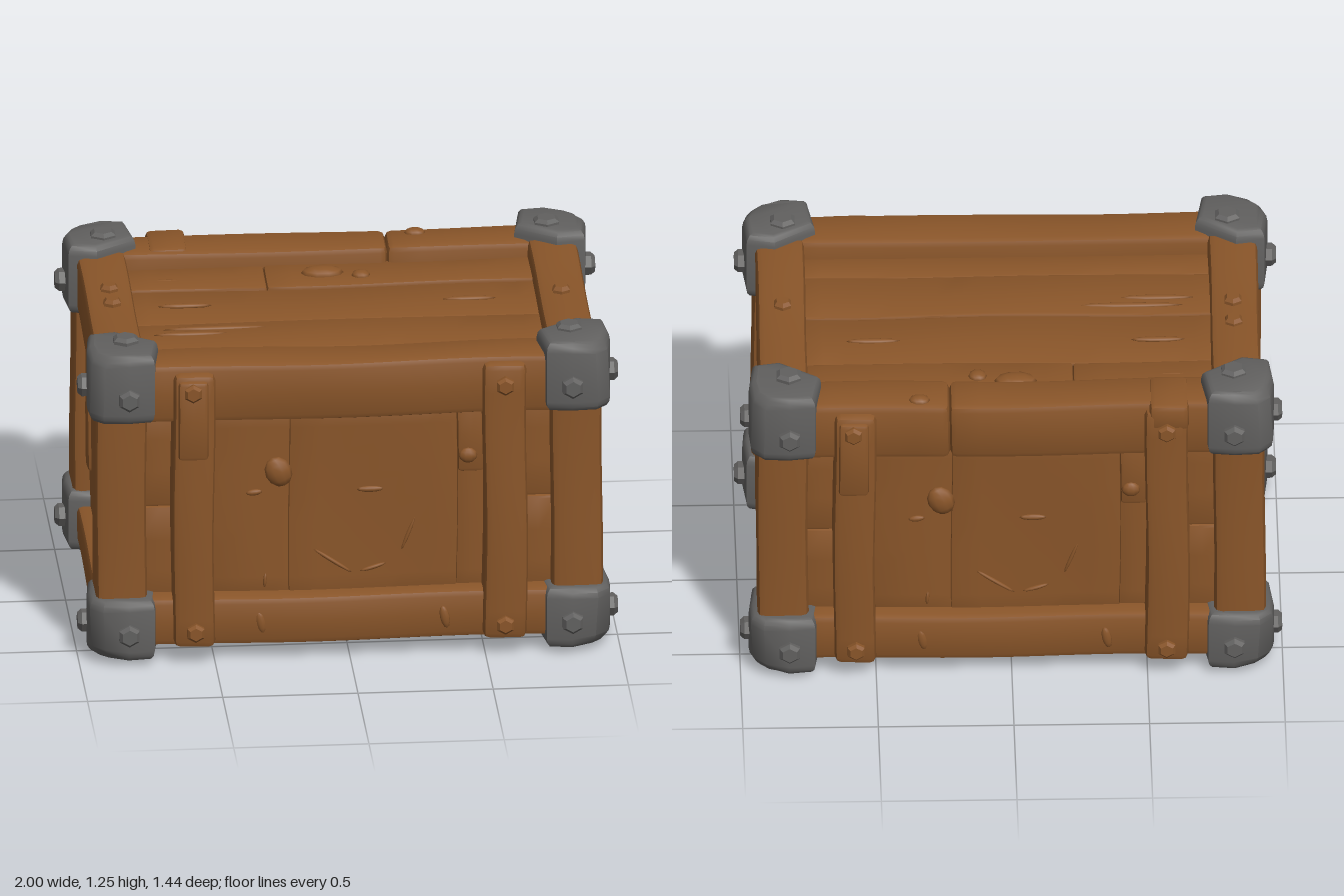
import * as THREE from 'three';
import { toCreasedNormals, mergeVertices } from 'three/addons/utils/BufferGeometryUtils.js';

const wood = new THREE.MeshStandardMaterial({ color: 0x895529 });
wood.name = 'wood';
const iron = new THREE.MeshStandardMaterial({ color: 0x61605f });
iron.name = 'iron';

function add(parent, name, geometry, material) {
  const mesh = new THREE.Mesh(geometry, material);
  mesh.name = name;
  parent.add(mesh);
  return mesh;
}

// Worn timber: a subdivided box with rounded edges and a gentle wobble
function timber(parent, name, [x0, x1], [y0, y1], [z0, z1], r = 0.02, wobble = 0.003) {
  const size = [x1 - x0, y1 - y0, z1 - z0];
  const centre = [(x0 + x1) / 2, (y0 + y1) / 2, (z0 + z1) / 2];
  const n = size.map((s) => Math.max(4, Math.round(s / 0.08)));
  r = Math.min(r, Math.min(...size) * 0.45);
  let geo = new THREE.BoxGeometry(...size, ...n);
  geo.deleteAttribute('normal');
  geo.deleteAttribute('uv');
  geo = mergeVertices(geo);
  const pos = geo.attributes.position;
  const p = new THREE.Vector3(), q = new THREE.Vector3();
  for (let i = 0; i < pos.count; i++) {
    p.fromBufferAttribute(pos, i);
    for (let a = 0; a < 3; a++) {
      const h = size[a] / 2;
      const k = Math.round((p.getComponent(a) / size[a] + 0.5) * n[a]);
      const inner = h - r;
      const c = k === 0 ? -h : k === n[a] ? h : -inner + (2 * inner * (k - 1)) / (n[a] - 2);
      p.setComponent(a, c);
      q.setComponent(a, THREE.MathUtils.clamp(c, -inner, inner));
    }
    const d = p.clone().sub(q);
    if (d.length() > r) p.copy(q).add(d.setLength(r));
    const [x, y, z] = [p.x + centre[0], p.y + centre[1], p.z + centre[2]];
    pos.setXYZ(i,
      x + wobble * Math.sin(6 * y + 5 * z + 3 * x),
      y + wobble * Math.sin(5 * x + 7 * z + 1),
      z + wobble * Math.sin(6 * x + 5 * y + 2));
  }
  return add(parent, name, toCreasedNormals(geo, 0.7), wood);
}

// Six-sided domed bolt head pointing along x, y or z
function bolt(parent, name, axis, sign, at, radius, material, height = 0.05) {
  const profile = [[radius, -height / 2], [radius, height * 0.2], [radius * 0.7, height / 2], [0, height / 2]];
  const geo = new THREE.LatheGeometry(profile.map(([x, y]) => new THREE.Vector2(x, y)), 6);
  const mesh = add(parent, name, toCreasedNormals(geo, 0.3), material);
  if (axis === 'x') mesh.rotation.z = -sign * Math.PI / 2;
  if (axis === 'z') mesh.rotation.x = sign * Math.PI / 2;
  if (axis === 'y' && sign < 0) mesh.rotation.x = Math.PI;
  mesh.position.set(...at);
}

// Flattened oval knot, or a long thin splinter
function knot(parent, name, at, radii, tilt = 0) {
  const mesh = add(parent, name, new THREE.SphereGeometry(1, 10, 6), wood);
  mesh.position.set(...at);
  mesh.scale.set(...radii);
  mesh.rotation.z = tilt;
}

// Iron corner: a bevelled block, its inward corner cut off and its outer corner worn down
function ironCorner(parent, sx, sy, sz) {
  const g = new THREE.Group();
  g.name = 'ironCorner';
  const outline = [[0.955, 0.425], [0.968, 0.55], [0.962, 0.635], [0.915, 0.682], [0.82, 0.688],
    [0.725, 0.675], [0.7, 0.51], [0.85, 0.405]];
  const y0 = sy > 0 ? 0.96 : 0.02, h = sy > 0 ? 0.275 : 0.24, b = 0.04;
  const shape = new THREE.Shape(outline.map(([x, z]) => new THREE.Vector2(x * sx, -z * sz)));
  const geo = new THREE.ExtrudeGeometry(shape, {
    depth: h - 2 * b, bevelThickness: b, bevelSize: b * 0.7, bevelOffset: -b * 0.7, bevelSegments: 3,
  });
  geo.rotateX(-Math.PI / 2);
  geo.translate(0, y0 + b, 0);
  const pos = geo.attributes.position;
  const yEnd = sy > 0 ? y0 + h : y0;
  for (let i = 0; i < pos.count; i++) {
    const [x, y, z] = [pos.getX(i), pos.getY(i), pos.getZ(i)];
    const gap = 0.968 - sx * x + 0.688 - sz * z + sy * (yEnd - y);
    const pull = Math.max(0, 0.13 - gap) * 0.28;
    pos.setXYZ(i, x - sx * pull, y - sy * pull, z - sz * pull);
  }
  add(g, 'cornerBlock', toCreasedNormals(geo, 0.75), iron);
  const my = sy > 0 ? 1.065 : 0.13;
  bolt(g, 'sideBolt', 'x', sx, [sx * 0.974, my, sz * 0.52], 0.043, iron);
  bolt(g, 'faceBolt', 'z', sz, [sx * 0.82, my, sz * 0.69], 0.043, iron);
  bolt(g, 'endBolt', 'y', sy, [sx * 0.82, sy > 0 ? 1.235 : 0.02, sz * 0.52], 0.052, iron, 0.04);
  parent.add(g);
}

// One long wall plus the short wall on its right; beamLengths are the pieces of the top beam
function halfCrate(name, beamLengths) {
  const g = new THREE.Group();
  g.name = name;

  // Corner posts
  for (const x of [[-0.94, -0.75], [0.745, 0.935]]) {
    timber(g, 'cornerPost', x, [0.1, 1.12], [0.43, 0.645], 0.03);
  }
  // Long and short beams
  for (const x of beamLengths) timber(g, 'topLongBeam', x, [0.95, 1.178], [0.46, 0.653], 0.025, 0.004);
  timber(g, 'bottomLongBeam', [-0.8, 0.8], [0.062, 0.25], [0.45, 0.648], 0.025);
  timber(g, 'topShortBeam', [0.745, 0.925], [0.97, 1.185], [-0.55, 0.55], 0.025);
  timber(g, 'bottomShortBeam', [0.745, 0.925], [0.052, 0.2], [-0.55, 0.55], 0.025);

  // Long wall panel
  for (const [x0, x1, z] of [[-0.52, -0.22, 0.577], [-0.22, 0.4, 0.58], [0.4, 0.5, 0.574]]) {
    timber(g, 'wallPlank', [x0, x1], [0.2, 1], [0.5, z], 0.006);
  }
  timber(g, 'wallPatch', [0.4, 0.5], [0.7, 1], [0.5, 0.595], 0.015);
  for (const x of [[-0.78, -0.62], [0.62, 0.78]]) {
    for (const y of [[0.2, 0.59], [0.59, 1]]) timber(g, 'edgePlank', x, y, [0.5, 0.575], 0.012);
  }
  // Straps with wooden pegs and a short repair board
  timber(g, 'strap', [-0.657, -0.503], [0.067, 1.15], [0.55, 0.69], 0.025, 0.004);
  timber(g, 'strap', [0.493, 0.652], [0.065, 1.157], [0.55, 0.69], 0.025, 0.004);
  timber(g, 'repairBoard', [-0.64, -0.53], [0.82, 1.13], [0.65, 0.705], 0.015);
  for (const [x, y, z] of [[-0.585, 1.09, 0.702], [-0.575, 0.135, 0.695], [0.57, 1.08, 0.695], [0.57, 0.13, 0.695]]) {
    bolt(g, 'strapPeg', 'z', 1, [x, y, z], 0.036, wood, 0.04);
  }
  // Knots and splinters on the wall
  knot(g, 'knot', [-0.26, 0.72, 0.58], [0.05, 0.06, 0.03], 0.4);
  knot(g, 'knot', [0.44, 0.77, 0.595], [0.035, 0.03, 0.02]);
  const splinters = [
    [0.08, 0.64, 0.05, 0.012, 0], [-0.06, 0.36, 0.09, 0.008, -0.6], [0.09, 0.33, 0.05, 0.008, 0.3],
    [-0.35, 0.64, 0.03, 0.012, 0.1], [-0.31, 0.29, 0.03, 0.007, 1.5], [0.22, 0.46, 0.07, 0.007, 1.2],
  ];
  for (const [x, y, length, width, tilt] of splinters) knot(g, 'splinter', [x, y, 0.578], [length, width, 0.01], tilt);
  for (const x of [-0.33, 0.35]) knot(g, 'beamSplinter', [x, 0.15, 0.645], [0.018, 0.045, 0.012], 0.2);

  // Short wall panel with two raised boards
  for (const z of [[-0.45, -0.2], [-0.2, 0.15], [0.15, 0.45]]) {
    timber(g, 'sidePlank', [0.78, 0.875], [0.15, 1.02], z, 0.006, 0.002);
  }
  timber(g, 'sideSlat', [0.8, 0.91], [0.455, 1], [0.115, 0.2], 0.02);
  timber(g, 'sideBoard', [0.8, 0.895], [0.505, 1], [-0.2, 0.115], 0.015);
  return g;
}

export function createModel() {
  const model = new THREE.Group();
  model.name = 'crate';

  // Solid core behind the planks
  const core = add(model, 'core', new THREE.BoxGeometry(1.6, 0.95, 1.04), wood);
  core.position.y = 0.59;

  model.add(halfCrate('frontHalf', [[-0.8, 0.8]]));
  const back = halfCrate('backHalf', [[-0.8, -0.23], [-0.23, 0.8]]);
  back.rotation.y = Math.PI;
  model.add(back);
  timber(model, 'strapCap', [-0.655, -0.51], [1.08, 1.188], [-0.685, -0.47], 0.02);

  // Lid planks, the rearmost in two lengths
  const lid = [
    [-0.78, -0.23, -0.49, -0.26, 1.115], [-0.23, 0.78, -0.49, -0.26, 1.118],
    [-0.78, 0.78, -0.26, 0.06, 1.108], [-0.78, 0.78, 0.06, 0.33, 1.112], [-0.78, 0.78, 0.33, 0.48, 1.105],
  ];
  for (const [x0, x1, z0, z1, top] of lid) {
    timber(model, 'lidPlank', [x0, x1], [1.0, top], [z0, z1], 0.012);
  }
  // Floor planks, nearly flush with the beams
  for (const z of [[-0.48, -0.24], [-0.24, 0.02], [0.02, 0.25], [0.25, 0.48]]) {
    timber(model, 'floorPlank', [-0.78, 0.78], [0.085, 0.2], z, 0.01);
  }
  // Knots, splinters and pegs on top
  knot(model, 'lidKnot', [-0.02, 1.115, -0.385], [0.08, 0.025, 0.05]);
  knot(model, 'lidKnot', [0.12, 1.115, -0.35], [0.035, 0.02, 0.035]);
  for (const [x, z, length] of [[-0.55, -0.11, 0.1], [-0.45, 0.12, 0.2], [-0.55, 0.17, 0.14], [0.5, -0.1, 0.1], [-0.6, -0.35, 0.07]]) {
    knot(model, 'lidSplinter', [x, 1.11, z], [length, 0.01, 0.014]);
  }
  knot(model, 'beamKnot', [0.34, 1.175, -0.6], [0.04, 0.02, 0.03]);
  for (const [x, z] of [[-0.83, -0.11], [-0.83, 0.03], [0.83, 0.035]]) {
    bolt(model, 'beamPeg', 'y', 1, [x, 1.185, z], 0.036, wood, 0.045);
  }

  // Eight iron corners
  for (const sx of [-1, 1]) for (const sy of [-1, 1]) for (const sz of [-1, 1]) ironCorner(model, sx, sy, sz);
  return model;
}
